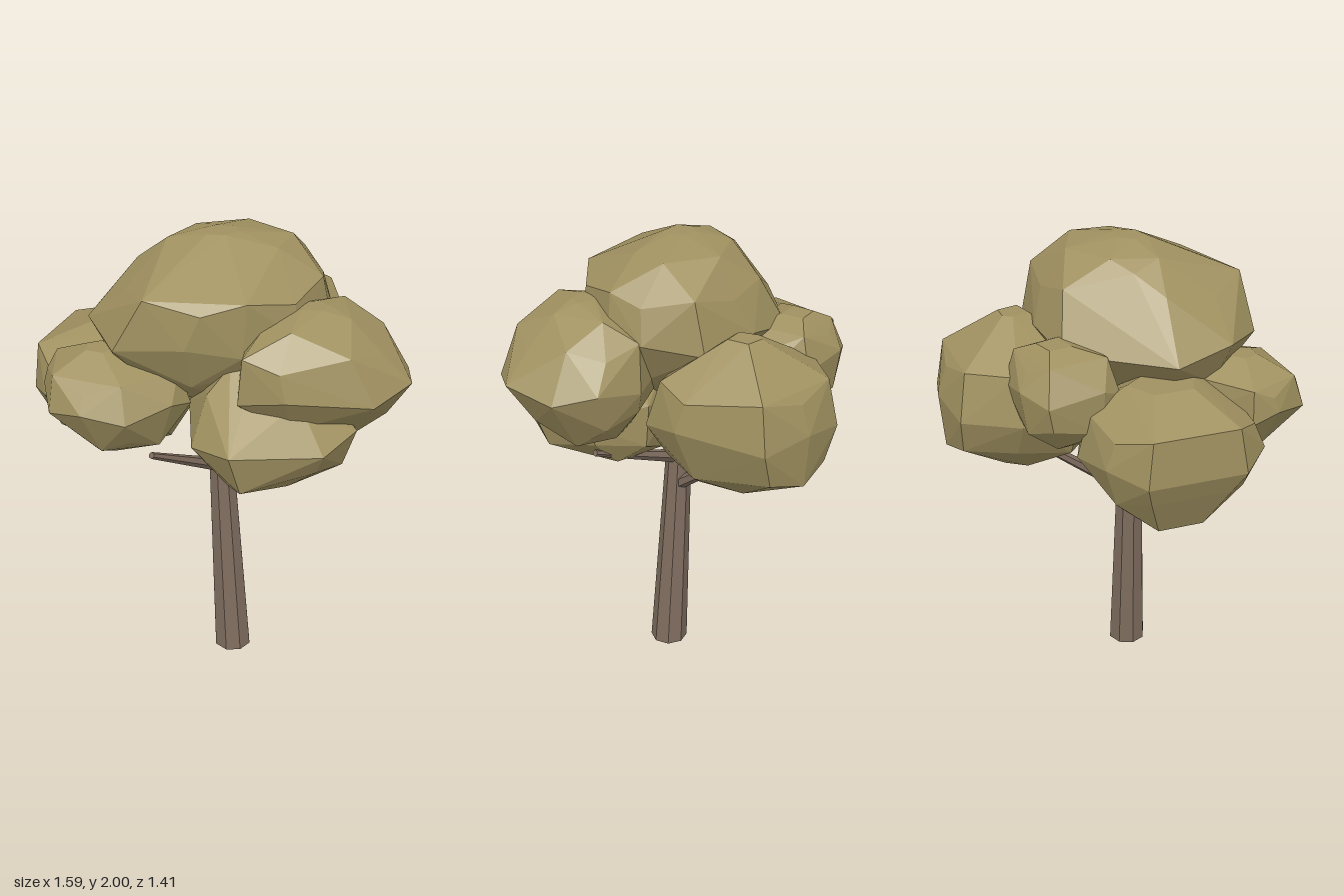
import * as THREE from 'three';
import { ConvexGeometry } from 'three/addons/geometries/ConvexGeometry.js';

// Faceted leaf clump: hull of rings shaped like the plan outline (x, z pairs),
// each ring fitted to [y, xMin, xMax, zMin, zMax]
function clumpGeometry(plan, levels) {
  const points = [];
  levels.forEach(([y, x0, x1, z0, z1], level) => {
    const end = level === 0 || level === levels.length - 1;
    const ring = plan
      .map(([x, z], i) => new THREE.Vector3(x, (i + level) % 2 ? 0.02 : -0.02, z))
      .filter((_, i) => !end || i % 2 === 0);
    const box = new THREE.Box3().setFromPoints(ring);
    for (const p of ring) {
      p.x = THREE.MathUtils.mapLinear(p.x, box.min.x, box.max.x, x0, x1);
      p.z = THREE.MathUtils.mapLinear(p.z, box.min.z, box.max.z, z0, z1);
      p.y = end ? y : y + p.y;
    }
    points.push(...ring);
  });
  return new ConvexGeometry(points);
}

// Tapered faceted limb between two points
function limbGeometry(from, to, r0, r1, sides) {
  const a = new THREE.Vector3(...from);
  const d = new THREE.Vector3(...to).sub(a);
  const len = d.length();
  const geo = new THREE.CylinderGeometry(r1, r0, len, sides).toNonIndexed();
  geo.translate(0, len / 2, 0);
  geo.applyQuaternion(new THREE.Quaternion().setFromUnitVectors(
    new THREE.Vector3(0, 1, 0), d.normalize()));
  geo.translate(a.x, a.y, a.z);
  geo.computeVertexNormals();
  return geo;
}

export function createModel() {
  const tree = new THREE.Group();
  tree.name = 'tree';
  const bark = new THREE.MeshStandardMaterial({ color: 0x7f6d5f, side: THREE.DoubleSide });
  bark.name = 'bark';
  const leaves = new THREE.MeshStandardMaterial({ color: 0xa09160 });
  leaves.name = 'leaves';

  const add = (name, geo, material) => {
    const mesh = new THREE.Mesh(geo, material);
    mesh.name = name;
    tree.add(mesh);
  };

  // Leaning hollow trunk: upright taper sheared so that its foot stays level
  const height = 1.24;
  const trunk = new THREE.CylinderGeometry(0.049, 0.084, height, 8, 1, true).toNonIndexed();
  trunk.translate(0, height / 2, 0);
  const p = trunk.attributes.position;
  for (let i = 0; i < p.count; i++) {
    const t = p.getY(i) / height;
    p.setX(i, p.getX(i) + 0.028 - 0.07 * t);
    p.setZ(i, p.getZ(i) + 0.12 - 0.02 * t);
  }
  trunk.computeVertexNormals();
  add('trunk', trunk, bark);

  // Branches reaching into the crown
  [
    ['frontBranch', [-0.03, 0.94, 0.11], [-0.18, 1.17, 0.49]],
    ['leftBranch', [-0.02, 0.96, 0.1], [0.46, 1.16, 0.08]],
    ['backBranch', [-0.01, 0.83, 0.09], [-0.02, 1.23, -0.45]],
  ].forEach(([name, from, to]) =>
    add(name, limbGeometry(from, to, 0.03, 0.014, 6), bark));

  // Leaf clumps: plan outline, then rings from bottom to top
  add('topClump', clumpGeometry(
    [[-0.28, -0.29], [-0.05, -0.33], [0.2, -0.31], [0.37, -0.13], [0.42, 0.02], [0.36, 0.25],
      [0.18, 0.42], [-0.02, 0.51], [-0.31, 0.53], [-0.5, 0.34], [-0.56, 0.09], [-0.4, -0.06]],
    [
      [1.36, -0.25, 0.18, -0.1, 0.32],
      [1.5, -0.46, 0.33, -0.2, 0.45],
      [1.65, -0.56, 0.42, -0.32, 0.53],
      [1.83, -0.38, 0.38, -0.27, 0.51],
      [1.94, -0.27, 0.24, -0.17, 0.22],
      [2, -0.1, 0.04, 0.03, 0.15],
    ]), leaves);
  add('leftClump', clumpGeometry(
    [[0.4, -0.15], [0.6, -0.13], [0.73, -0.01], [0.79, 0.195], [0.69, 0.37], [0.39, 0.52],
      [0.2, 0.52], [0.13, 0.3], [0.16, 0]],
    [
      [1.25, 0.3, 0.58, -0.01, 0.24],
      [1.38, 0.18, 0.69, -0.12, 0.42],
      [1.51, 0.13, 0.79, -0.15, 0.53],
      [1.66, 0.16, 0.67, -0.11, 0.52],
      [1.74, 0.25, 0.54, -0.01, 0.4],
      [1.79, 0.35, 0.44, 0.15, 0.25],
    ]), leaves);
  add('rightClump', clumpGeometry(
    [[-0.79, -0.12], [-0.66, -0.24], [-0.45, -0.28], [-0.22, -0.18], [-0.15, 0.06],
      [-0.2, 0.28], [-0.4, 0.4], [-0.68, 0.4], [-0.79, 0.28]],
    [
      [1.01, -0.68, -0.28, -0.1, 0.22],
      [1.16, -0.76, -0.18, -0.22, 0.34],
      [1.29, -0.8, -0.15, -0.28, 0.41],
      [1.44, -0.79, -0.2, -0.24, 0.36],
      [1.55, -0.58, -0.36, -0.08, 0.2],
    ]), leaves);
  add('backClump', clumpGeometry(
    [[-0.165, -0.67], [0.04, -0.71], [0.24, -0.67], [0.4, -0.34], [0.38, -0.15],
      [0.2, -0.02], [-0.1, -0.02], [-0.28, -0.2], [-0.29, -0.45]],
    [
      [1.07, -0.1, 0.2, -0.46, -0.22],
      [1.18, -0.22, 0.31, -0.69, -0.06],
      [1.37, -0.3, 0.4, -0.71, -0.02],
      [1.53, -0.26, 0.37, -0.67, -0.1],
      [1.7, 0, 0.12, -0.43, -0.32],
    ]), leaves);
  add('frontRightClump', clumpGeometry(
    [[-0.64, 0.38], [-0.64, 0.49], [-0.54, 0.65], [-0.38, 0.7], [-0.22, 0.65],
      [-0.09, 0.5], [-0.06, 0.38], [-0.2, 0.24], [-0.45, 0.22]],
    [
      [1.18, -0.44, -0.28, 0.38, 0.52],
      [1.24, -0.52, -0.13, 0.3, 0.6],
      [1.4, -0.64, -0.05, 0.22, 0.7],
      [1.5, -0.63, -0.1, 0.25, 0.64],
      [1.59, -0.47, -0.34, 0.38, 0.48],
    ]), leaves);
  add('frontLeftClump', clumpGeometry(
    [[0.03, 0.58], [0.22, 0.68], [0.53, 0.48], [0.61, 0.3], [0.5, 0.08],
      [0.25, -0.02], [0, 0.05], [-0.09, 0.3]],
    [
      [1.08, 0.12, 0.36, 0.05, 0.46],
      [1.18, 0, 0.55, -0.02, 0.62],
      [1.32, -0.09, 0.61, -0.02, 0.68],
      [1.46, -0.03, 0.46, 0.06, 0.54],
      [1.57, 0.11, 0.21, 0.25, 0.38],
    ]), leaves);
  add('backRightClump', clumpGeometry(
    [[-0.5, -0.4], [-0.39, -0.48], [-0.19, -0.485], [-0.1, -0.4], [-0.1, -0.18],
      [-0.25, -0.08], [-0.45, -0.1], [-0.5, -0.18]],
    [
      [1.29, -0.4, -0.2, -0.38, -0.2],
      [1.39, -0.49, -0.12, -0.46, -0.1],
      [1.53, -0.5, -0.1, -0.49, -0.08],
      [1.63, -0.44, -0.13, -0.45, -0.12],
      [1.69, -0.36, -0.24, -0.38, -0.26],
    ]), leaves);

  return tree;
}
